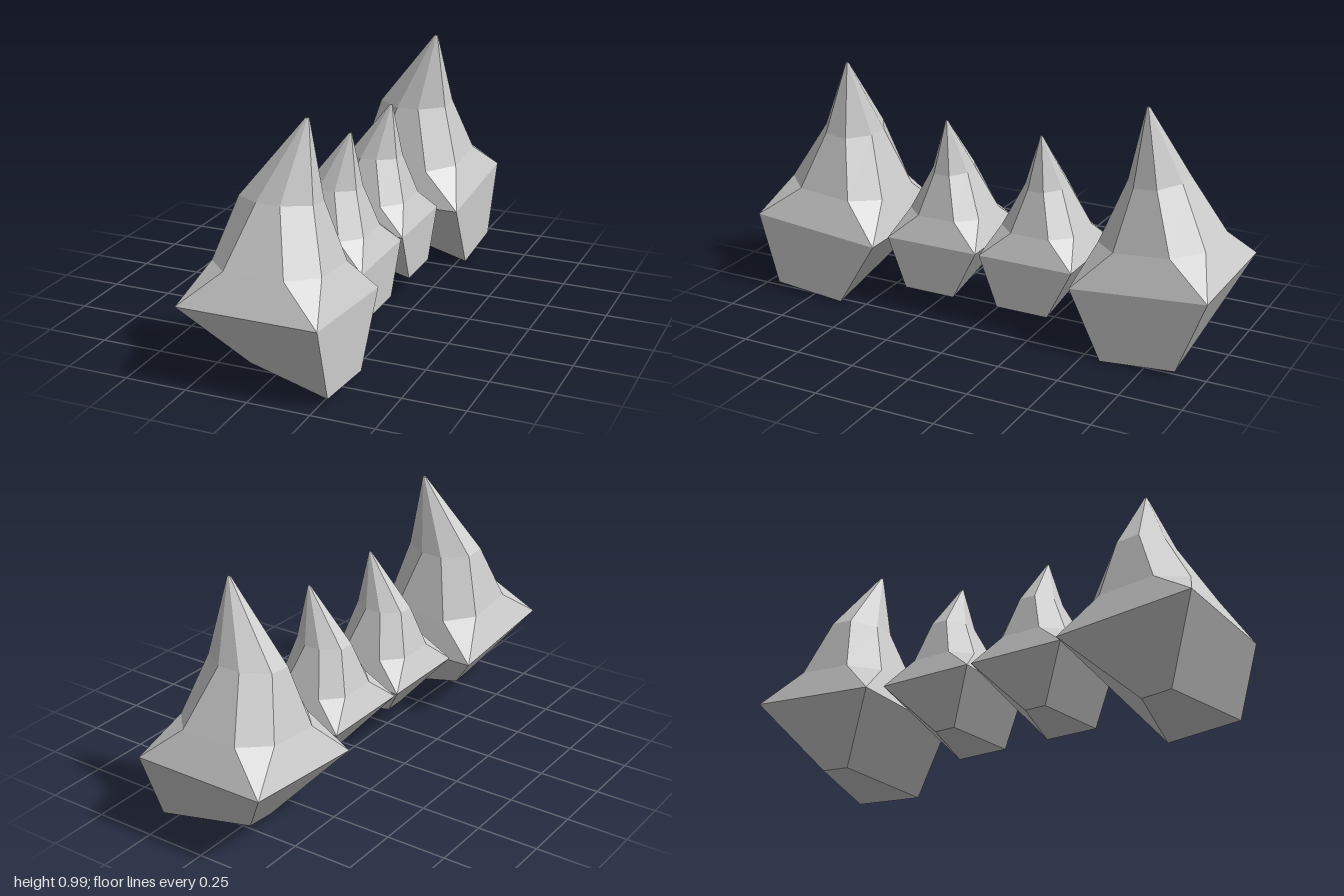
import * as THREE from 'three';

// Four corners, walking counter-clockwise seen from above
const CORNERS = [[1, 1], [1, -1], [-1, -1], [-1, 1]];

// Ring of eight points: each corner gives one point near the z side and one near the x side
function octagon(y, near, far, nearZ, farZ, cx = 0, cz = 0) {
  const ring = [];
  CORNERS.forEach(([sx, sz], i) => {
    const pair = [
      new THREE.Vector3(cx + sx * near, y, cz + sz * farZ),
      new THREE.Vector3(cx + sx * far, y, cz + sz * nearZ),
    ];
    ring.push(...(i % 2 ? pair.reverse() : pair));
  });
  return ring;
}

// Ring of four corners, doubled so that it joins to an octagon
function square(points) {
  return points.flatMap((p) => [new THREE.Vector3(...p), new THREE.Vector3(...p)]);
}

function spikeGeometry() {
  const rings = [
    // slanted foot, pushed towards +x and narrowing towards -x
    square([[0.281, -0.288, 0.17], [0.281, -0.288, -0.14], [-0.08, -0.253, -0.061], [-0.08, -0.253, 0.064]]),
    // wide rim
    square(CORNERS.map(([sx, sz]) => [sx * 0.281, 0, sz * 0.281])),
    // tapering crown and off-centre tip
    octagon(0.141, 0.12, 0.22, 0.115, 0.22),
    octagon(0.38, 0.048, 0.149, 0.048, 0.112),
    octagon(0.685, 0.003, 0.007, 0.003, 0.006, 0.092, -0.006),
  ];
  const pos = [], nor = [];
  const tri = (a, b, c, n) => {
    if (a.equals(b) || b.equals(c) || a.equals(c)) return;
    for (const p of [a, b, c]) {
      pos.push(p.x, p.y, p.z);
      nor.push(n.x, n.y, n.z);
    }
  };
  // each four-sided facet gets one normal, so it reads as a single plane
  const quad = (a, b, c, d) => {
    const n = c.clone().sub(a).cross(d.clone().sub(b)).normalize();
    tri(a, b, c, n);
    tri(a, c, d, n);
  };
  for (let r = 0; r < rings.length - 1; r++) {
    const lo = rings[r], up = rings[r + 1];
    for (let i = 0; i < 8; i++) {
      const j = (i + 1) % 8;
      if (!lo[i].equals(lo[j]) || !up[i].equals(up[j])) quad(lo[i], lo[j], up[j], up[i]);
    }
  }
  // caps
  const foot = rings[0], tip = rings[rings.length - 1];
  quad(foot[6], foot[4], foot[2], foot[0]);
  for (let i = 1; i < 7; i++) tri(tip[0], tip[i], tip[i + 1], new THREE.Vector3(0, 1, 0));

  const geo = new THREE.BufferGeometry();
  geo.setAttribute('position', new THREE.Float32BufferAttribute(pos, 3));
  geo.setAttribute('normal', new THREE.Float32BufferAttribute(nor, 3));
  return geo;
}

export function createModel() {
  const group = new THREE.Group();
  group.name = 'spikeRow';
  const geometry = spikeGeometry();
  const material = new THREE.MeshStandardMaterial({ color: 0xcccccc });

  // Large spikes at both ends lean inwards, small upright ones stand between them
  for (const side of [1, -1]) {
    const end = side > 0 ? 'front' : 'back';
    const large = new THREE.Mesh(geometry, material);
    large.name = end + 'LargeSpike';
    large.position.set(0, 0.303, side * 0.72);
    large.rotation.x = -side * 0.088;

    const small = new THREE.Mesh(geometry, material);
    small.name = end + 'SmallSpike';
    small.position.set(0, 0.303, side * 0.211);
    small.scale.setScalar(0.72);
    group.add(large, small);
  }
  return group;
}
